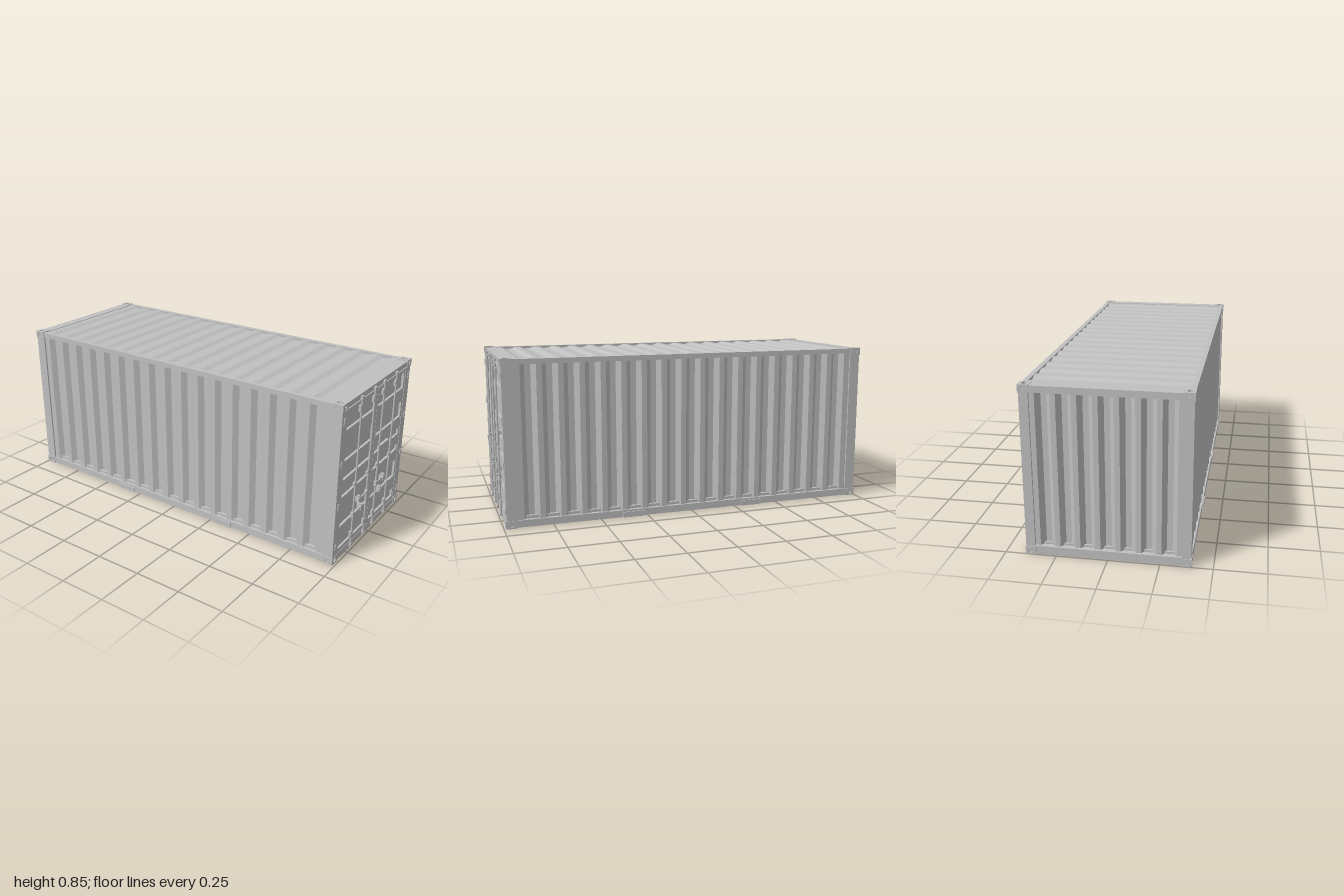
import * as THREE from 'three';

export function createModel() {
  const root = new THREE.Group();
  root.name = 'cargoContainer';
  const grey = new THREE.MeshStandardMaterial({ color: 0xc0c0c0 });
  grey.name = 'painted steel grey';

  const add = (name, geometry, parent = root) => {
    const mesh = new THREE.Mesh(geometry, grey);
    mesh.name = name;
    parent.add(mesh);
    return mesh;
  };
  const group = (name) => {
    const g = new THREE.Group();
    g.name = name;
    root.add(g);
    return g;
  };
  // Box given by its lower and upper bounds on each axis
  const box = (name, x0, x1, y0, y1, z0, z1, parent = root) => {
    const mesh = add(name, new THREE.BoxGeometry(x1 - x0, y1 - y0, z1 - z0), parent);
    mesh.position.set((x0 + x1) / 2, (y0 + y1) / 2, (z0 + z1) / 2);
    return mesh;
  };
  const rect = (target, x0, x1, y0, y1) => {
    target.moveTo(x0, y0);
    target.lineTo(x1, y0);
    target.lineTo(x1, y1);
    target.lineTo(x0, y1);
    target.closePath();
    return target;
  };
  const extrude = (shape, depth, curveSegments = 6) =>
    new THREE.ExtrudeGeometry(shape, { depth, bevelEnabled: false, curveSegments });

  // Trapezoid-wave sheet: runs along x, bulges to y = 0, extruded along z
  const corrugated = (length, height, waves, depth) => {
    const end = 0.03;
    const pitch = (length - 2 * end) / waves;
    const line = [[-length / 2, 0]];
    for (let i = 0; i < waves; i++) {
      const u = -length / 2 + end + i * pitch;
      line.push([u + pitch * 0.13, 0], [u + pitch * 0.36, -depth],
        [u + pitch * 0.64, -depth], [u + pitch * 0.87, 0]);
    }
    line.push([length / 2, 0]);
    const back = line.map(([u, v]) => [u, v - 0.005]).reverse();
    return extrude(new THREE.Shape([...line, ...back].map((p) => new THREE.Vector2(...p))), height);
  };

  // Frame: posts, rails, sills and headers
  const frame = group('frame');
  for (const s of [-1, 1]) {
    const span = (a, b) => (s > 0 ? [a, b] : [-b, -a]);
    box('frontPost', -0.997, -0.94, 0.03, 0.83, ...span(0.352, 0.397), frame);
    box('doorPost', 0.93, 0.987, 0.03, 0.83, ...span(0.342, 0.397), frame);
    box('topRail', -0.95, 0.94, 0.822, 0.848, ...span(0.372, 0.397), frame);
    box('bottomRail', -0.95, 0.94, 0.003, 0.04, ...span(0.378, 0.397), frame);
    for (const x of [-0.345, 0.328])
      box('forkPocketPlate', x - 0.057, x + 0.057, 0.002, 0.03, ...span(0.394, 0.403), frame);
  }
  box('frontHeader', -0.997, -0.94, 0.815, 0.848, -0.36, 0.36, frame);
  box('frontSill', -0.997, -0.95, 0.003, 0.045, -0.36, 0.36, frame);
  box('doorHeader', 0.93, 0.987, 0.818, 0.848, -0.36, 0.36, frame);
  box('doorSill', 0.94, 0.987, 0.003, 0.038, -0.36, 0.36, frame);

  // Corrugated walls and roof
  for (const s of [-1, 1]) {
    const wall = add('sideWall', corrugated(1.89, 0.8, 17, 0.022).rotateX(Math.PI / 2));
    if (s < 0) wall.rotation.y = Math.PI;
    wall.position.set(-0.005, 0.832, s * 0.389);
  }
  const endWall = add('endWall', corrugated(0.74, 0.79, 7, 0.026).rotateX(Math.PI / 2));
  endWall.rotation.y = -Math.PI / 2;
  endWall.position.set(-0.985, 0.825, 0);
  add('roof', corrugated(1.89, 0.76, 17, 0.01)).position.set(-0.005, 0.845, -0.38);

  // Floor deck and the cross members below it
  box('floorDeck', -0.97, 0.96, 0.042, 0.056, -0.382, 0.382);
  const beams = group('crossMembers');
  for (let i = 0; i < 11; i++) {
    const x = -0.83 + i * 0.166;
    box('crossMember', x - 0.018, x + 0.018, 0.01, 0.044, -0.38, 0.38, beams);
  }
  box('crossMember', -0.925, -0.895, 0.01, 0.044, -0.38, 0.38, beams);

  // Corner castings: a core behind three plates with oval openings
  const plate = (w, h, rx, ry) => {
    const shape = rect(new THREE.Shape(), -w / 2, w / 2, -h / 2, h / 2);
    const hole = new THREE.Path();
    hole.absellipse(0, 0, rx, ry, 0, Math.PI * 2);
    shape.holes.push(hole);
    return extrude(shape, 0.008).translate(0, 0, -0.008);
  };
  const castings = group('cornerCastings');
  for (const sx of [-1, 1]) for (const sy of [-1, 1]) for (const sz of [-1, 1]) {
    const [w, h, d] = [0.056, 0.04, 0.052];
    const casting = new THREE.Group();
    casting.name = 'cornerCasting';
    const outX = sx > 0 ? 0.99 : -1;
    const outY = sy > 0 ? 0.852 : 0;
    casting.position.set(outX - sx * w / 2, outY - sy * h / 2, sz * (0.4 - d / 2));
    castings.add(casting);
    const core = add('castingCore', new THREE.BoxGeometry(w - 0.008, h - 0.008, d - 0.008), casting);
    core.position.set(-sx * 0.004, -sy * 0.004, -sz * 0.004);
    const endFace = add('castingEndFace', plate(d, h, 0.012, 0.014), casting);
    endFace.rotation.y = sx * Math.PI / 2;
    endFace.position.x = sx * w / 2;
    const levelFace = add('castingLevelFace', plate(w, d, 0.018, 0.011), casting);
    levelFace.rotation.x = -sy * Math.PI / 2;
    levelFace.position.y = sy * h / 2;
    const sideFace = add('castingSideFace', plate(w, h, 0.012, 0.013), casting);
    if (sz < 0) sideFace.rotation.y = Math.PI;
    sideFace.position.z = sz * d / 2;
  }

  // Doors: sheet with pressed-in panels, lock rods, handles and hinges
  const panels = [[0.06, 0.105], [0.187, 0.283], [0.35, 0.383],
    [0.443, 0.476], [0.545, 0.63], [0.707, 0.793]];
  for (const s of [-1, 1]) {
    const door = group(s > 0 ? 'leftDoor' : 'rightDoor');
    const part = (name, x0, x1, y0, y1, z0, z1) =>
      box(name, x0, x1, y0, y1, Math.min(s * z0, s * z1), Math.max(s * z0, s * z1), door);
    const sheet = rect(new THREE.Shape(), -0.352, -0.001, 0.036, 0.814);
    for (const [y0, y1] of panels)
      sheet.holes.push(rect(new THREE.Path(), -0.338, -0.027, y0, y1));
    // Shape x becomes -z after the turn; the other leaf is shifted across
    const leaf = add('doorSheet', extrude(sheet, 0.014).rotateY(Math.PI / 2), door);
    leaf.position.set(0.971, 0, s > 0 ? 0 : -0.353);
    part('doorBacking', 0.966, 0.973, 0.036, 0.814, 0.001, 0.352);

    for (const z of [0.056, 0.205]) {
      const rod = add('lockRod', new THREE.CylinderGeometry(0.0045, 0.0045, 0.81, 10), door);
      rod.position.set(0.9925, 0.43, s * z);
      for (const y of [0.022, 0.83])
        part('lockCam', 0.984, 0.998, y - 0.007, y + 0.007, z - 0.01, z + 0.008);
      for (const [y, h] of [[0.083, 0.04], [0.372, 0.018], [0.776, 0.034]])
        part('rodBracket', 0.984, 0.995, y - h / 2, y + h / 2, z - 0.014, z + 0.014);
    }
    // Handles point towards each other from the two rods
    for (const [z, y, dir] of [[0.056, 0.26, 1], [0.205, 0.2, -1]]) {
      part('handleHub', 0.984, 0.999, y - 0.013, y + 0.012, z - 0.008, z + 0.012);
      part('handle', 0.991, 0.997, y - 0.005, y + 0.005, z, z + dir * 0.108);
      part('handleCatch', 0.971, 0.999, y - 0.016, y + 0.02, z + dir * 0.083, z + dir * 0.097);
      part('handleLatch', 0.99, 1, y - 0.007, y + 0.007, z + dir * 0.075, z + dir * 0.105);
    }
    for (const y of [0.092, 0.317, 0.542, 0.765]) {
      const hinge = add('hingePin', new THREE.CylinderGeometry(0.005, 0.005, 0.032, 10), door);
      hinge.position.set(0.988, y, s * 0.375);
    }
  }
  box('markingPlate', 0.972, 0.988, 0.38, 0.463, -0.195, -0.08);
  box('headerGutter', 0.984, 0.992, 0.815, 0.82, -0.35, 0.35);
  return root;
}
